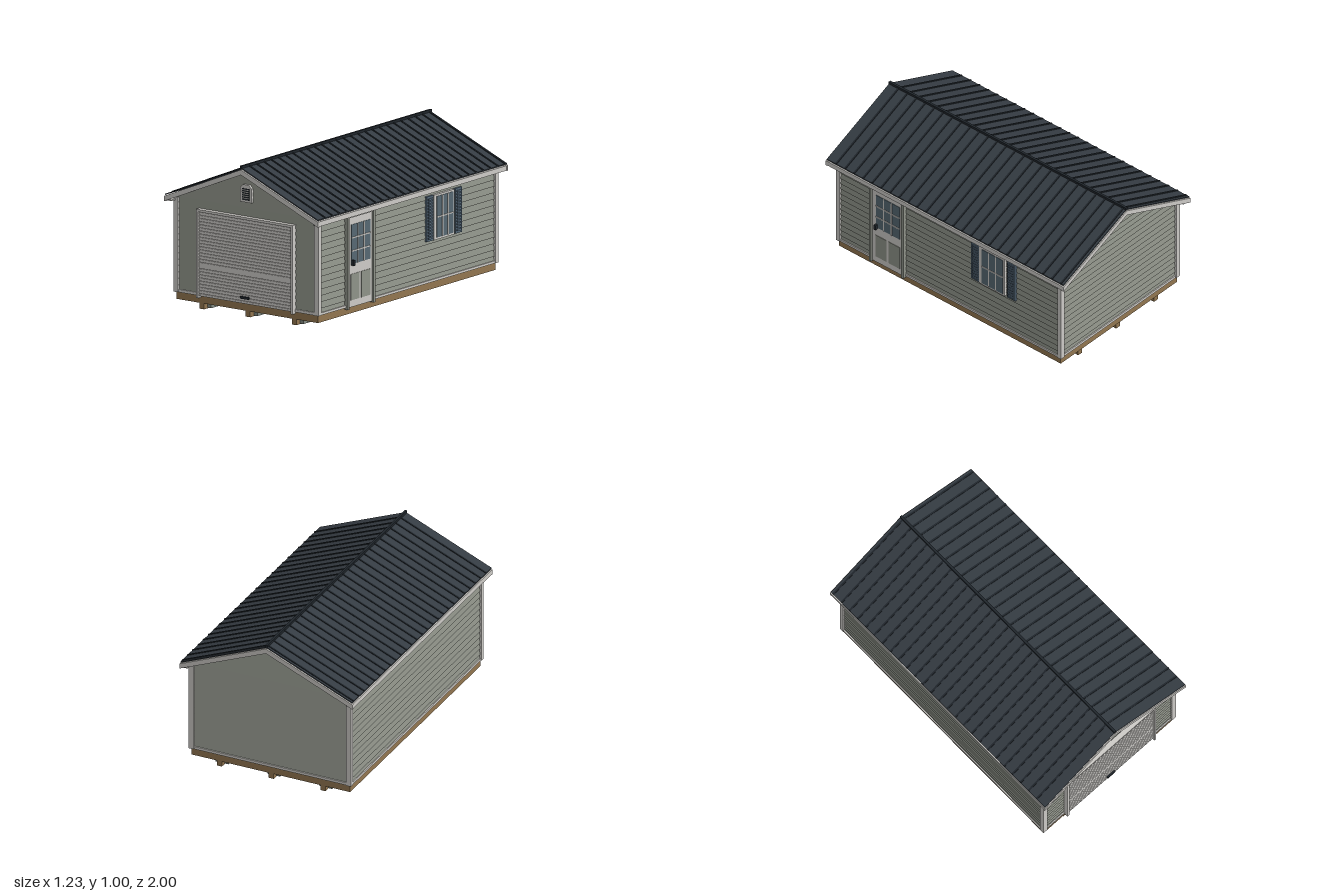
import * as THREE from 'three';

const mat = (name, color, side = THREE.FrontSide) => {
  const m = new THREE.MeshStandardMaterial({ color, side });
  m.name = name;
  return m;
};

export function createModel() {
  const siding = mat('sage siding', 0x8f9389, THREE.DoubleSide);
  const trim = mat('white trim', 0xcdcbc7);
  const metal = mat('roof metal', 0x343b42);
  const rib = mat('dark metal', 0x20262c);
  const wood = mat('timber', 0x927650);
  const pad = mat('concrete', 0x828a82);
  const glass = mat('glass', 0x566872);
  const blue = mat('shutter blue', 0x55697a);
  const groove = mat('groove grey', 0x8c8a87);

  const root = new THREE.Group();
  root.name = 'garageShed';
  const add = (name, geo, m, parent = root) => {
    const mesh = new THREE.Mesh(geo, m);
    mesh.name = name;
    parent.add(mesh);
    return mesh;
  };
  const box = (name, m, x0, x1, y0, y1, z0, z1) => {
    const g = new THREE.BoxGeometry(x1 - x0, y1 - y0, z1 - z0);
    g.translate((x0 + x1) / 2, (y0 + y1) / 2, (z0 + z1) / 2);
    return add(name, g, m);
  };

  // Base: pads, skids and floor frame
  for (const x of [-0.367, 0, 0.367]) {
    box('skid', wood, x - 0.018, x + 0.018, 0, 0.042, -0.925, 0.925);
    for (const z of [-0.835, 0, 0.835])
      box('concretePad', pad, x - 0.045, x + 0.045, 0.004, 0.027, z - 0.052, z + 0.052);
  }
  box('floorFrame', wood, -0.562, 0.562, 0.04, 0.09, -0.932, 0.932);

  // Lap siding: tilted boards with a ledge below each; half(y) is the half width
  const slope = 0.419;
  const levels = [];
  for (let i = 0; i <= 15; i++) levels.push(0.09 + i * 0.0415);
  for (let i = 1; i <= 6; i++) levels.push(0.7125 + i * 0.0395);
  const lapWall = (name, courses, half, dist, turn) => {
    const p = [];
    const quad = (a, b, c, d) => p.push(...a, ...b, ...c, ...a, ...c, ...d);
    for (let i = 0; i < courses; i++) {
      const y0 = levels[i], y1 = levels[i + 1], a = half(y0), b = half(y1), o = 0.007;
      quad([-a, y0, o], [a, y0, o], [b, y1, 0], [-b, y1, 0]);
      quad([-a, y0, 0], [a, y0, 0], [a, y0, o], [-a, y0, o]);
    }
    const g = new THREE.BufferGeometry();
    g.setAttribute('position', new THREE.Float32BufferAttribute(p, 3));
    g.computeVertexNormals();
    g.translate(0, 0, dist);
    g.rotateY(turn);
    add(name, g, siding);
  };
  const gable = y => Math.min(0.562, Math.max(0, (0.95 - y) / slope));
  lapWall('frontWall', 21, gable, 0.928, 0);
  lapWall('backWall', 21, gable, 0.928, Math.PI);
  lapWall('rightSideWall', 15, () => 0.928, 0.56, -Math.PI / 2);
  lapWall('leftSideWall', 15, () => 0.928, 0.56, Math.PI / 2);

  // Corner boards and bottom and top rails
  for (const s of [-1, 1]) {
    for (const t of [-1, 1]) {
      const c = box('cornerBoard', trim, -0.0175, 0.0175, 0.088, 0.705, -0.015, 0.015);
      c.position.set(s * 0.558, 0, t * 0.93);
    }
    const b = box('sideRail', trim, -0.006, 0.006, 0.088, 0.104, -0.93, 0.93);
    b.position.x = s * 0.566;
    const u = box('topRail', trim, -0.006, 0.006, 0.68, 0.705, -0.93, 0.93);
    u.position.x = s * 0.566;
    const e = box('endRail', trim, -0.56, 0.56, 0.088, 0.106, -0.006, 0.006);
    e.position.z = s * 0.934;
  }

  // Roof: a sloped band extruded along z, used for metal, ribs, rakes and soffits
  const slopeBand = (name, m, side, top, thick, x0, x1, z0, z1) => {
    const y = x => top - slope * x;
    const sh = new THREE.Shape([
      [x0, y(x0)], [x0, y(x0) - thick], [x1, y(x1) - thick], [x1, y(x1)],
    ].map(([x, v]) => new THREE.Vector2(side * x, v)));
    const g = new THREE.ExtrudeGeometry(sh, { depth: z1 - z0, bevelEnabled: false });
    g.translate(0, 0, z0);
    add(name, g, m);
  };
  for (const s of [-1, 1]) {
    slopeBand('roofPanel', metal, s, 0.984, 0.007, 0, 0.608, -0.995, 0.995);
    for (let i = 0; i < 26; i++) {
      const z = 0.917 - i * 0.0756;
      slopeBand('roofRib', rib, s, 0.989, 0.006, 0, 0.608, z - 0.006, z + 0.006);
    }
    for (const z of [-1, 0.985])
      slopeBand('rakeBoard', trim, s, 0.972, 0.034, 0, 0.613, z, z + 0.015);
    slopeBand('soffit', trim, s, 0.966, 0.012, 0, 0.605, -0.99, 0.99);
    const f = box('eaveFascia', trim, -0.006, 0.006, 0.684, 0.716, -0.995, 0.995);
    f.position.x = s * 0.606;
    const w = box('eaveSoffit', trim, -0.02, 0.02, 0.686, 0.694, -0.985, 0.985);
    w.position.x = s * 0.582;
  }
  box('ridgeCap', rib, -0.008, 0.008, 0.975, 0.997, -0.997, 0.997);

  // Roll-up door with slats, frame and handle
  box('garageDoorBack', groove, -0.37, 0.37, 0.09, 0.642, 0.93, 0.946);
  for (let i = 0; i < 27; i++) {
    const y = 0.09 + i * 0.0204;
    box('garageDoorSlat', trim, -0.37, 0.37, y, y + (i === 9 ? 0.0204 : 0.0148), 0.94, 0.952);
  }
  for (const s of [-1, 1]) {
    const j = box('garageDoorJamb', trim, -0.008, 0.008, 0.077, 0.656, 0.93, 0.965);
    j.position.x = s * 0.377;
  }
  box('garageDoorHeader', trim, -0.385, 0.385, 0.64, 0.656, 0.93, 0.965);
  box('garageDoorHandle', rib, -0.033, 0.033, 0.122, 0.137, 0.95, 0.964);

  // Gable vent
  const ventShape = new THREE.Shape([
    [-0.046, 0.75], [0.046, 0.75], [0.046, 0.842], [0.024, 0.864], [-0.024, 0.864], [-0.046, 0.842],
  ].map(q => new THREE.Vector2(...q)));
  const ventGeo = new THREE.ExtrudeGeometry(ventShape, { depth: 0.018, bevelEnabled: false });
  ventGeo.translate(0, 0, 0.93);
  add('ventFrame', ventGeo, trim);
  box('ventOpening', rib, -0.029, 0.029, 0.764, 0.84, 0.94, 0.95);
  for (let i = 0; i < 5; i++)
    box('ventLouver', trim, -0.029, 0.029, 0.775 + i * 0.0135, 0.779 + i * 0.0135, 0.945, 0.953);

  // Glazed panes with muntins on the right-hand wall
  const glazing = (name, x, y0, y1, z0, z1, cols, rows) => {
    box(name + 'Glass', glass, x - 0.004, x + 0.002, y0, y1, z0, z1);
    for (let i = 1; i < cols; i++) {
      const z = z0 + (z1 - z0) * i / cols;
      box(name + 'Muntin', trim, x, x + 0.006, y0, y1, z - 0.004, z + 0.004);
    }
    for (let i = 1; i < rows; i++) {
      const y = y0 + (y1 - y0) * i / rows;
      box(name + 'Muntin', trim, x, x + 0.006, y - 0.004, y + 0.004, z0, z1);
    }
  };

  // Side door
  box('sideDoor', trim, 0.56, 0.578, 0.085, 0.672, 0.386, 0.638);
  glazing('sideDoor', 0.579, 0.365, 0.622, 0.407, 0.606, 3, 3);
  box('doorPanel', siding, 0.575, 0.581, 0.13, 0.3, 0.407, 0.5);
  box('doorPanel', siding, 0.575, 0.581, 0.13, 0.3, 0.518, 0.61);
  box('doorCasing', siding, 0.56, 0.591, 0.077, 0.685, 0.638, 0.653);
  box('doorCasing', siding, 0.56, 0.591, 0.077, 0.685, 0.366, 0.386);
  box('doorHeader', trim, 0.56, 0.588, 0.67, 0.685, 0.386, 0.638);
  box('doorHandle', rib, 0.575, 0.602, 0.357, 0.393, 0.592, 0.606);

  // Side window with louvred shutters
  box('windowFrame', trim, 0.56, 0.582, 0.36, 0.654, -0.478, -0.262);
  glazing('window', 0.583, 0.373, 0.642, -0.464, -0.288, 3, 2);
  for (const z of [-0.563, -0.263]) {
    box('shutter', blue, 0.56, 0.578, 0.36, 0.654, z, z + 0.07);
    for (let i = 0; i < 14; i++) {
      const y = 0.374 + i * 0.0195;
      box('shutterSlat', blue, 0.575, 0.584, y, y + 0.012, z + 0.012, z + 0.058);
    }
  }
  return root;
}
